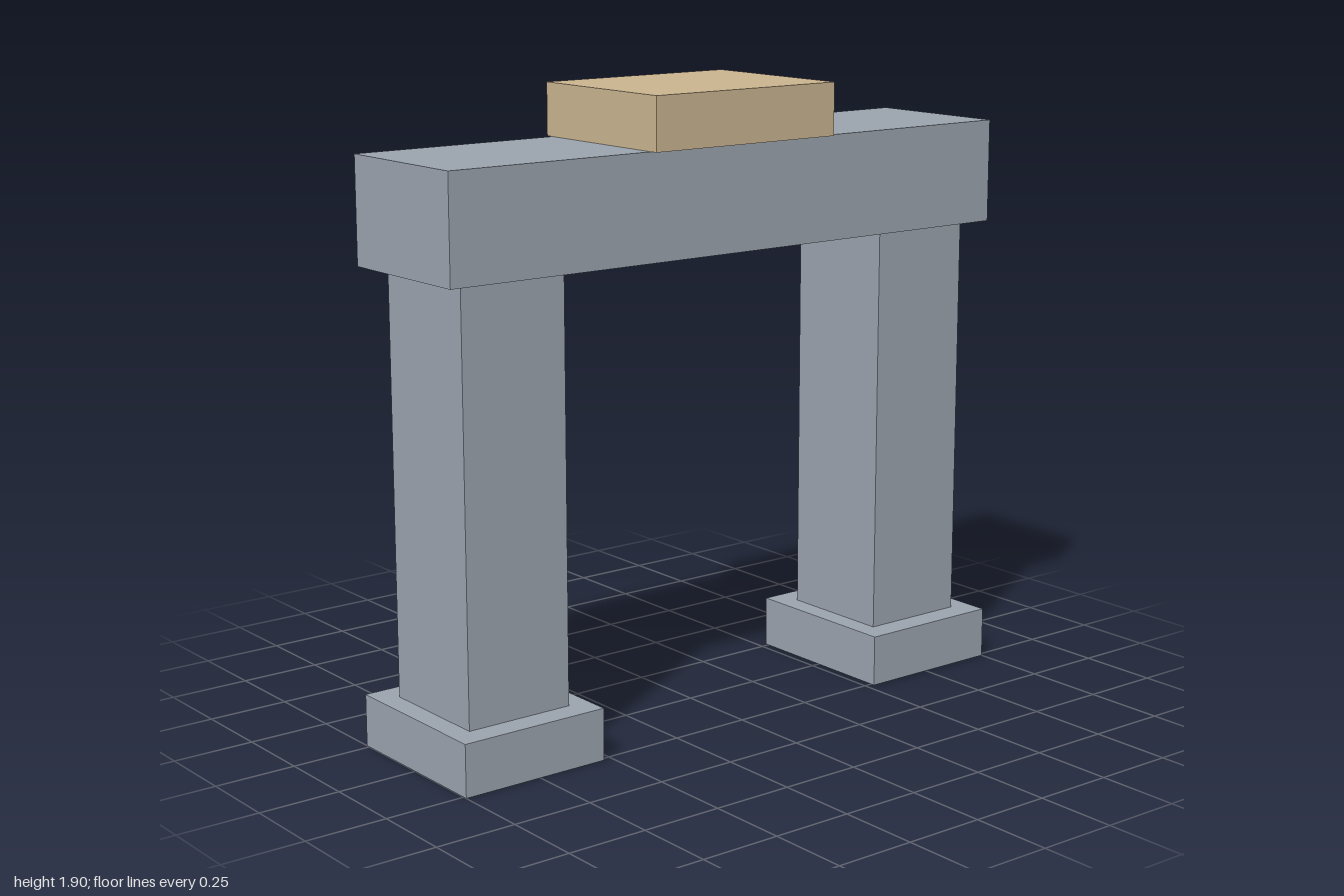
import * as THREE from 'three';

const stone = new THREE.MeshStandardMaterial({ color: 0x9aa3ad });
stone.name = 'grey stone';
const sandstone = new THREE.MeshStandardMaterial({ color: 0xc9b48f });
sandstone.name = 'tan sandstone';

// Box standing on height y
function block(name, material, width, height, depth, x, y) {
  const mesh = new THREE.Mesh(new THREE.BoxGeometry(width, height, depth), material);
  mesh.name = name;
  mesh.position.set(x, y + height / 2, 0);
  return mesh;
}

export function createModel() {
  const gate = new THREE.Group();
  gate.name = 'stoneGate';

  // Mirrored pillars, each on a plinth
  for (const [side, s] of [['left', 1], ['right', -1]]) {
    gate.add(block(side + 'Plinth', stone, 0.474, 0.158, 0.526, s * 0.763, 0));
    gate.add(block(side + 'Pillar', stone, 0.342, 1.266, 0.368, s * 0.763, 0.158));
  }

  // Lintel across the pillars, with a capstone in the middle
  gate.add(block('lintel', stone, 2, 0.316, 0.474, 0, 1.424));
  gate.add(block('capstone', sandstone, 0.658, 0.158, 0.526, 0, 1.74));
  return gate;
}
